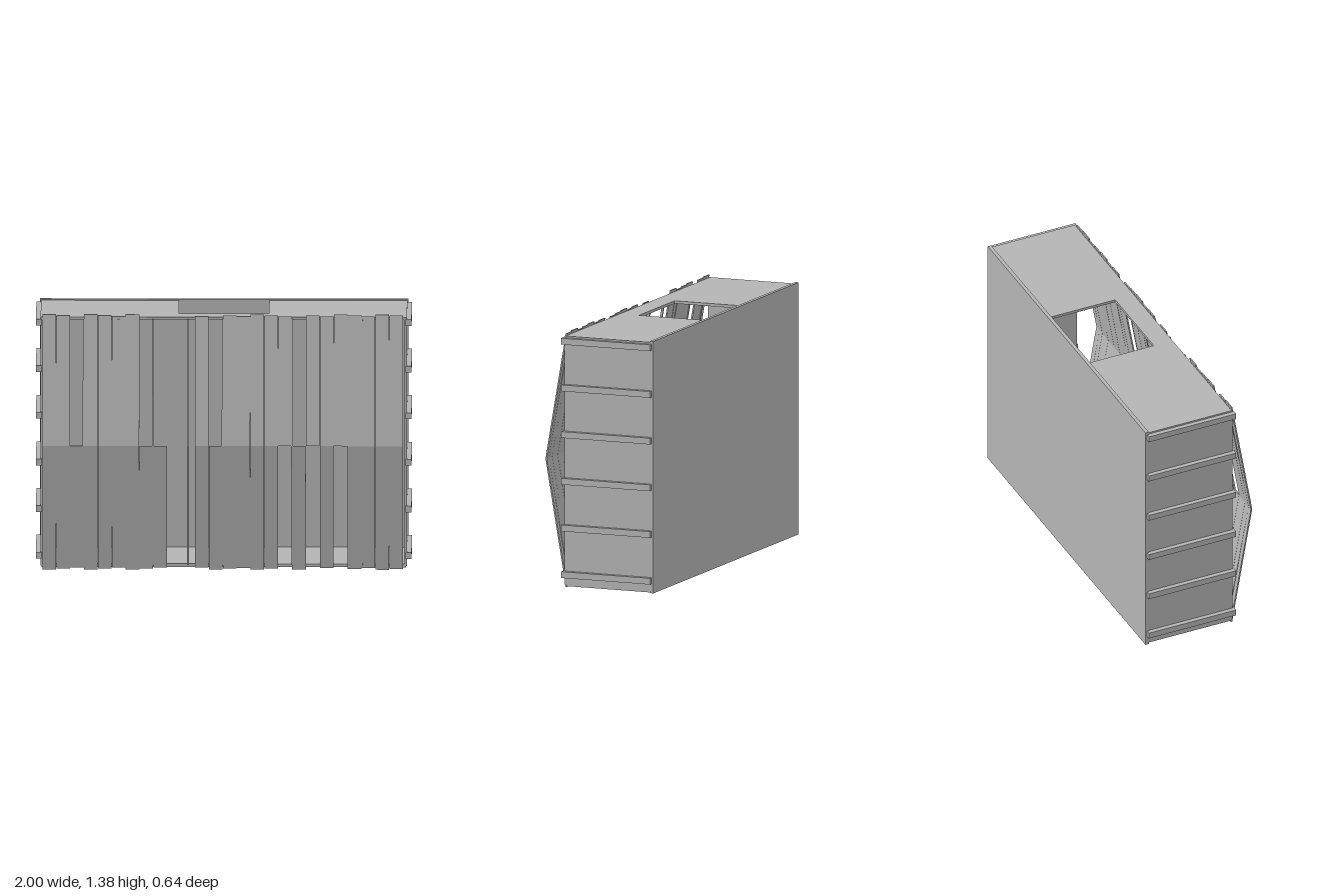
import * as THREE from 'three';

export function createModel() {
  const root = new THREE.Group();
  const grey = new THREE.MeshStandardMaterial({ color: 0xb4b4b4 });
  grey.name = 'plain grey';

  // Box given by its low and high corners
  const box = (name, x0, x1, y0, y1, z0, z1) => {
    const m = new THREE.Mesh(new THREE.BoxGeometry(x1 - x0, y1 - y0, z1 - z0), grey);
    m.position.set((x0 + x1) / 2, (y0 + y1) / 2, (z0 + z1) / 2);
    m.name = name;
    root.add(m);
  };

  // Strip with a (z, y) outline, extruded across x
  const strip = (name, x0, x1, outline) => {
    const shape = new THREE.Shape(outline.map(([z, y]) => new THREE.Vector2(-z, y)));
    const geo = new THREE.ExtrudeGeometry(shape, { depth: x1 - x0, bevelEnabled: false });
    geo.rotateY(Math.PI / 2);
    const m = new THREE.Mesh(geo, grey);
    m.position.x = x0;
    m.name = name;
    root.add(m);
  };

  // Hollow casing
  box('backWall', -0.98, 0.98, 0.01, 1.372, -0.32, -0.3);
  box('floor', -0.97, 0.97, 0.012, 0.03, -0.3, 0.19);
  for (const s of [-1, 1]) {
    const a = s * 0.96, b = s * 0.975;
    box('sideWall', Math.min(a, b), Math.max(a, b), 0.02, 1.365, -0.3, 0.195);
    const c = s * 0.24, d = s * 0.96;
    box('topPanel', Math.min(c, d), Math.max(c, d), 1.35, 1.365, -0.3, 0.19);
    // Battens along the sides
    for (let i = 0; i < 6; i++) {
      const y = 0.077 + i * 0.2524, e = s * 0.967;
      box('sideBatten', Math.min(e, s), Math.max(e, s), y - 0.017, y + 0.017, -0.31, 0.205);
    }
  }
  box('topFrontStrip', -0.24, 0.24, 1.35, 1.365, 0.08, 0.19);

  // Bent front slats, some with one or both halves missing
  const noUpper = [2, 7, 8, 9, 10, 12, 18];
  const noLower = [9, 10, 17, 19, 21];
  const pitch = 1.92 / 26;
  for (let i = 0; i < 26; i++) {
    const x0 = -0.965 + i * pitch, x1 = x0 + pitch - 0.001;
    const end = (i * 7) % 3 * 0.005;
    if (!noUpper.includes(i)) {
      strip('upperSlat', x0, x1, [[0.308, 0.69], [0.316, 0.69], [0.198, 1.38 - end], [0.19, 1.38 - end]]);
    }
    if (!noLower.includes(i)) {
      strip('lowerSlat', x0, x1, [[0.19, end], [0.198, end], [0.316, 0.69], [0.308, 0.69]]);
    }
  }

  // Narrow ribs over the slats
  for (let i = 0; i < 11; i++) {
    const x = -0.93 + i * 0.185;
    strip('frontRib', x - 0.005, x + 0.005, [
      [0.19, 0.025], [0.202, 0.025], [0.32, 0.69], [0.202, 1.355], [0.19, 1.355], [0.308, 0.69],
    ]);
  }
  return root;
}
